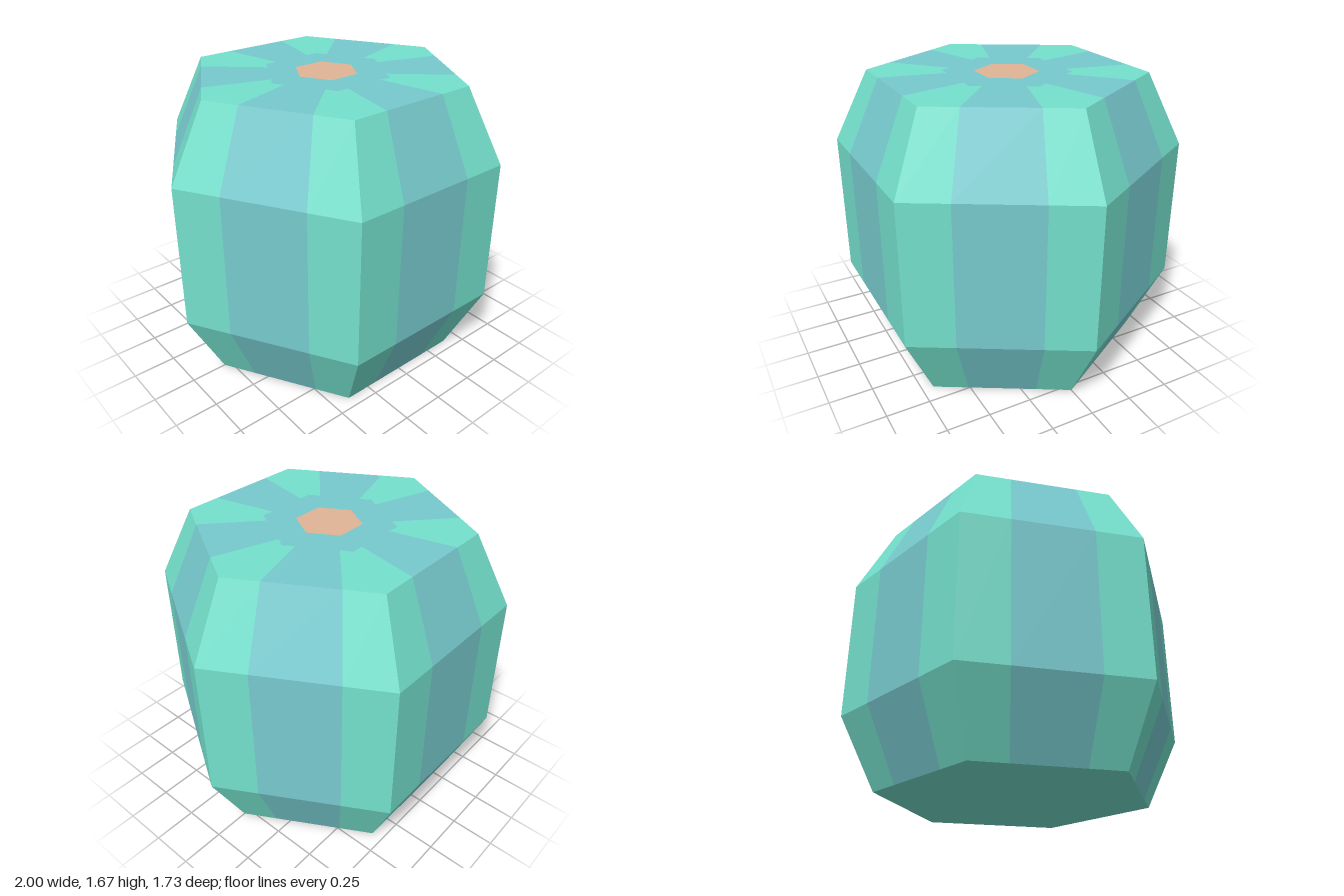
import * as THREE from 'three';

const SIDES = 6;
const END_R = 0.79; // radius of the flat top and bottom
// Height, corner radius and stripe edge (fraction of the side) of each ring
const RINGS = [
  { y: 0, r: END_R, t: 0.255 },
  { y: 0.415, r: 1, t: 0.27 },
  { y: 1.25, r: 1, t: 0.27 },
  { y: 1.666, r: END_R, t: 0.255 },
];
const TOP = RINGS[3];

const polar = (r, a) => new THREE.Vector2(r * Math.cos(a), r * Math.sin(a));
const corner = (k, r) => polar(r, (k * 2 * Math.PI) / SIDES);
// Point on side k of a hexagon of radius r, t running from one corner to the next
const onSide = (k, r, t) => corner(k, r).lerp(corner(k + 1, r), t);

export function createModel() {
  const group = new THREE.Group();
  const mat = (name, color) => {
    const m = new THREE.MeshStandardMaterial({ color });
    m.name = name;
    return m;
  };
  const teal = mat('teal', 0x74e0cc);
  const blue = mat('blue', 0x77cace);
  const peach = mat('peach', 0xe0b496);

  const add = (name, geometry, material) => {
    const mesh = new THREE.Mesh(geometry, material);
    mesh.name = name;
    group.add(mesh);
  };

  // Flat-shaded wall strips between two fractions of every side
  const wall = (spans) => {
    const pos = [];
    for (let k = 0; k < SIDES; k++) {
      for (let i = 0; i < RINGS.length - 1; i++) {
        for (const [from, to] of spans) {
          const at = (ring, f) => {
            const p = onSide(k, ring.r, f(ring.t));
            return [p.x, ring.y, -p.y];
          };
          const bl = at(RINGS[i], from), br = at(RINGS[i], to);
          const tl = at(RINGS[i + 1], from), tr = at(RINGS[i + 1], to);
          pos.push(...bl, ...br, ...tr, ...bl, ...tr, ...tl);
        }
      }
    }
    const g = new THREE.BufferGeometry();
    g.setAttribute('position', new THREE.Float32BufferAttribute(pos, 3));
    g.computeVertexNormals();
    return g;
  };
  add('cornerPanels', wall([[() => 0, (t) => t], [(t) => 1 - t, () => 1]]), teal);
  add('sideStripes', wall([[(t) => t, (t) => 1 - t]]), blue);

  // Horizontal faces
  const flat = (shapes, y) => new THREE.ShapeGeometry(shapes).rotateX(-Math.PI / 2).translate(0, y, 0);
  const hexagon = (r) => Array.from({ length: SIDES }, (_, k) => corner(k, r));

  // Top: teal petals at the corners, blue spokes between, peach centre
  const petals = [];
  const outline = [];
  for (let k = 0; k < SIDES; k++) {
    const a = (k * 2 * Math.PI) / SIDES;
    const before = onSide(k - 1, END_R, 1 - TOP.t);
    const after = onSide(k, END_R, TOP.t);
    const inner = [polar(0.335, a - 0.175), polar(0.368, a), polar(0.335, a + 0.175)];
    outline.push(before, ...inner, after);
    petals.push(new THREE.Shape([before, corner(k, END_R), after, ...inner.slice().reverse()]));
  }
  const spokes = new THREE.Shape(outline);
  spokes.holes.push(new THREE.Path(hexagon(0.183)));
  add('topPetals', flat(petals, TOP.y), teal);
  add('topSpokes', flat(spokes, TOP.y), blue);
  add('topCentre', flat(new THREE.Shape(hexagon(0.183)), TOP.y), peach);

  // Plain bottom
  add('base', new THREE.ShapeGeometry(new THREE.Shape(hexagon(END_R))).rotateX(Math.PI / 2), teal);

  return group;
}
